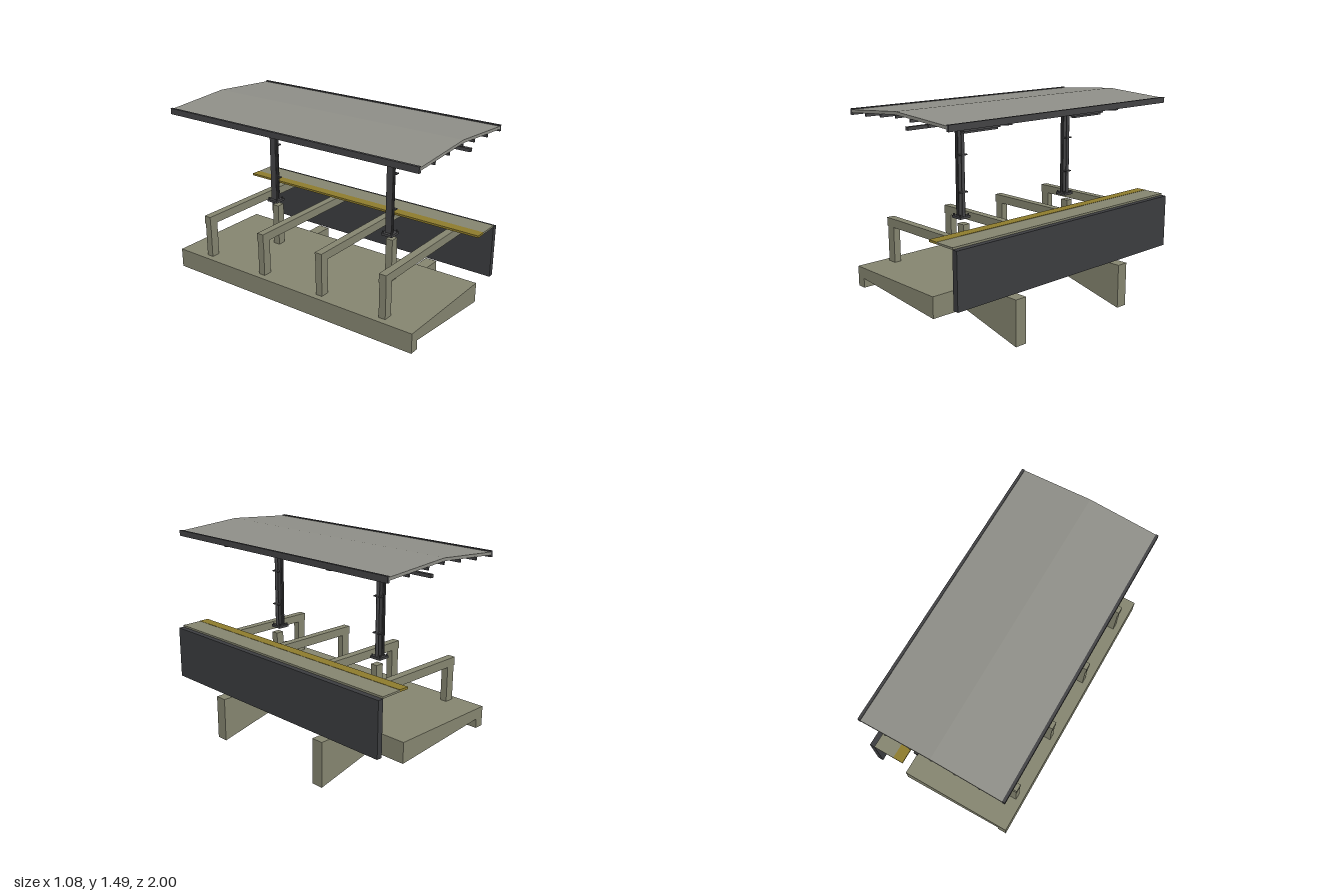
import * as THREE from 'three';

const mat = (color) => new THREE.MeshStandardMaterial({ color, flatShading: true });

export function createModel() {
  const root = new THREE.Group();
  root.name = 'platformShelter';
  const concrete = mat(0x84846f), roofGrey = mat(0x8e8e87);
  const steel = mat(0x434345), wallGrey = mat(0x3b3c3f), yellow = mat(0x8d7b2c);

  // Box given by its minimum and maximum on each axis
  function box(name, m, x0, x1, y0, y1, z0 = -1, z1 = 1, parent = root) {
    const mesh = new THREE.Mesh(new THREE.BoxGeometry(x1 - x0, y1 - y0, z1 - z0), m);
    mesh.position.set((x0 + x1) / 2, (y0 + y1) / 2, (z0 + z1) / 2);
    mesh.name = name;
    parent.add(mesh);
    return mesh;
  }

  // Side profile in x/y extruded along z, centred on zc
  function profile(name, m, pts, depth, zc = 0, parent = root) {
    const shape = new THREE.Shape(pts.map(([x, y]) => new THREE.Vector2(x, y)));
    const geo = new THREE.ExtrudeGeometry(shape, { depth, bevelEnabled: false });
    geo.translate(0, 0, zc - depth / 2);
    const mesh = new THREE.Mesh(geo, m);
    mesh.name = name;
    parent.add(mesh);
    return mesh;
  }

  function rod(name, m, x, z, r, y0, y1, parent, sides = 12) {
    const mesh = new THREE.Mesh(new THREE.CylinderGeometry(r, r, y1 - y0, sides), m);
    mesh.position.set(x, (y0 + y1) / 2, z);
    mesh.name = name;
    parent.add(mesh);
  }

  // Foundation slab with a sloping underside and a rear lip
  profile('foundationSlab', concrete, [
    [-0.54, 0.25], [-0.475, 0.25], [-0.475, 0.315],
    [0.285, 0.245], [0.285, 0.39], [-0.54, 0.39],
  ], 2);

  // Concrete portal frames carrying the platform
  for (const z of [-0.75, -0.25, 0.25, 0.75]) {
    const frame = new THREE.Group();
    frame.name = 'portalFrame';
    box('frameBeam', concrete, -0.5, 0.485, 0.64, 0.70, z - 0.027, z + 0.027, frame);
    box('frameColumn', concrete, -0.495, -0.43, 0.39, 0.64, z - 0.025, z + 0.025, frame);
    root.add(frame);
  }

  // Platform edge: retaining wall, paving and warning strip
  box('retainingWall', wallGrey, 0.485, 0.525, 0.355, 0.735);
  box('edgePaving', concrete, 0.335, 0.487, 0.735, 0.748);
  box('warningStrip', yellow, 0.262, 0.335, 0.735, 0.75);

  // One bay per canopy post
  for (const z of [-0.5, 0.5]) {
    const bay = new THREE.Group();
    bay.name = 'canopyBay';
    root.add(bay);

    // Wedge-shaped buttress below the slab and pedestal above it
    profile('buttress', concrete, [
      [-0.5, 0.25], [0.54, 0], [0.54, 0.32], [-0.47, 0.32], [-0.47, 0.25],
    ], 0.087, z, bay);
    box('pedestal', concrete, -0.045, 0.015, 0.385, 0.70, z - 0.026, z + 0.026, bay);

    // Base plate with bolts
    box('basePlate', steel, -0.083, 0.005, 0.735, 0.752, z - 0.043, z + 0.043, bay);
    for (const bx of [-0.072, -0.006])
      for (const s of [-1, 1]) rod('anchorBolt', steel, bx, z + s * 0.034, 0.006, 0.75, 0.765, bay, 6);

    // Paired post members with a downpipe and its clips
    box('postFlange', steel, -0.06, -0.05, 0.75, 1.40, z - 0.024, z + 0.024, bay);
    box('postFlange', steel, -0.04, -0.03, 0.75, 1.40, z - 0.024, z + 0.024, bay);
    rod('downpipe', steel, -0.011, z, 0.011, 0.75, 1.40, bay, 16);
    for (const y of [0.915, 1.165])
      box('pipeClip', steel, -0.03, 0, y - 0.004, y + 0.004, z - 0.03, z + 0.03, bay);

    // Tapered cantilever arm
    profile('canopyArm', steel, [
      [-0.51, 1.41], [-0.06, 1.357], [-0.005, 1.357], [0.447, 1.41],
      [0.447, 1.428], [-0.035, 1.456], [-0.51, 1.428],
    ], 0.03, z, bay);

    // Hanging light
    box('lightHousing', steel, 0.132, 0.19, 1.355, 1.373, z - 0.153, z + 0.153, bay);
    box('lightDiffuser', steel, 0.142, 0.18, 1.342, 1.355, z - 0.14, z + 0.14, bay);
    for (const s of [-1, 1]) rod('lightHanger', steel, 0.161, z + s * 0.11, 0.004, 1.37, 1.46, bay, 8);
  }

  // Shallow pitched roof sheet
  profile('roof', roofGrey, [
    [-0.525, 1.437], [-0.037, 1.472], [0.46, 1.437],
    [0.46, 1.457], [-0.037, 1.492], [-0.525, 1.457],
  ], 2);

  // Edge gutters
  box('gutter', steel, -0.54, -0.521, 1.423, 1.464);
  box('gutter', steel, 0.456, 0.474, 1.423, 1.464);

  // Purlins between arms and roof, following the pitch
  for (const x of [-0.365, -0.2, -0.037, 0.11, 0.285]) {
    const y = 1.472 - Math.abs(x + 0.037) * 0.07;
    box('purlin', steel, x - 0.006, x + 0.006, y - 0.022, y + 0.002);
  }

  // Service conduit running the full length
  box('conduit', steel, 0.06, 0.086, 1.388, 1.41);

  return root;
}
